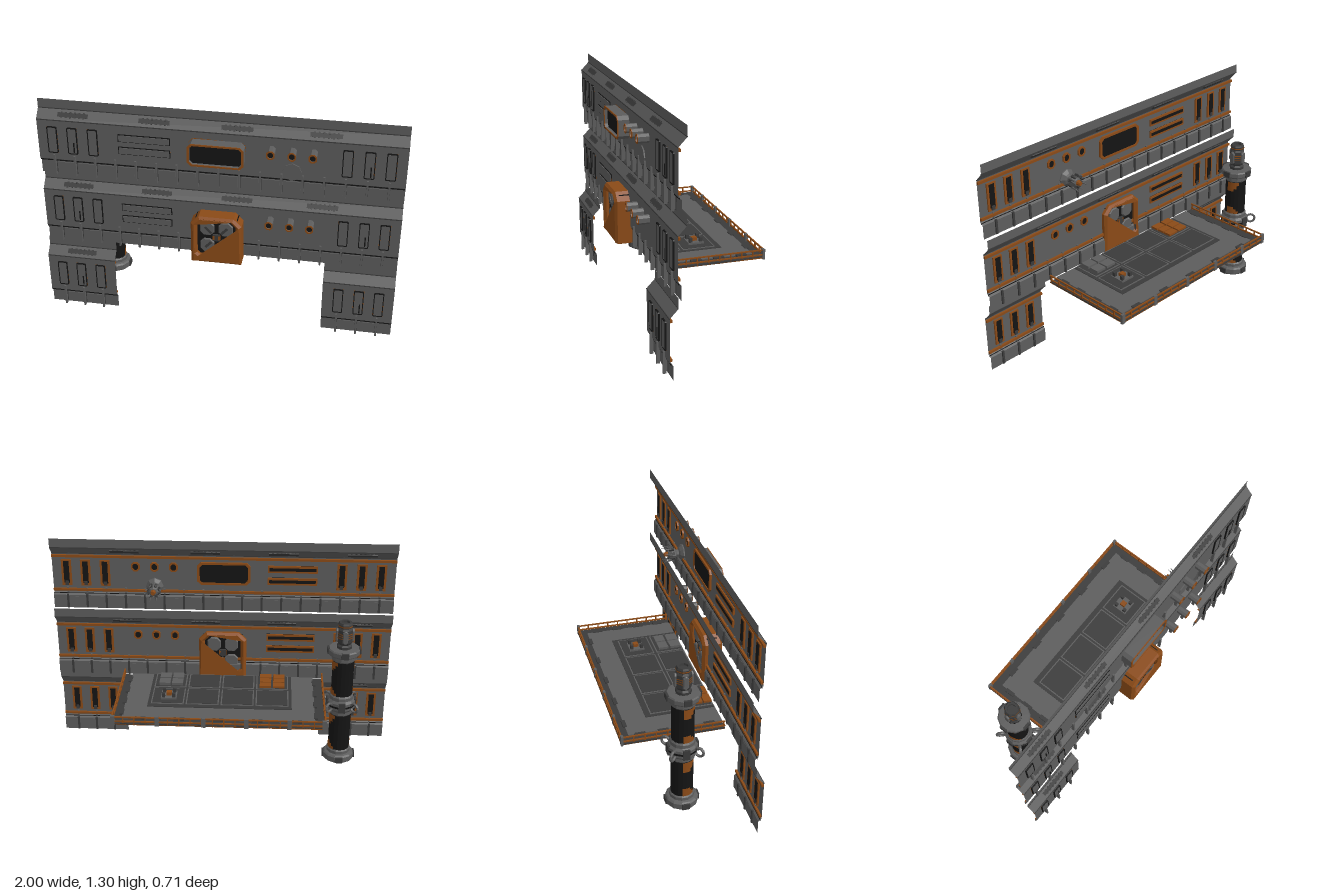
import * as THREE from 'three';

const mat = (color) => new THREE.MeshStandardMaterial({ color, flatShading: true, side: THREE.DoubleSide });
const GREY = mat(0x5c5c5c), DARK = mat(0x3a3a3a), BLACK = mat(0x141414), ORANGE = mat(0x8a4a17);

function add(parent, name, geo, material, x = 0, y = 0, z = 0) {
  const m = new THREE.Mesh(geo, material);
  m.name = name;
  m.position.set(x, y, z);
  parent.add(m);
  return m;
}
const box = (p, name, material, w, h, d, x, y, z) => add(p, name, new THREE.BoxGeometry(w, h, d), material, x, y, z);
function group(parent, name, x = 0, y = 0, z = 0) {
  const g = new THREE.Group();
  g.name = name;
  g.position.set(x, y, z);
  parent.add(g);
  return g;
}

// Rectangle with cut corners (top cut ct, bottom cut cb), centred on the origin
function cutRect(w, h, ct, cb = ct, Type = THREE.Shape) {
  const a = w / 2, b = h / 2;
  return new Type([[-a + cb, -b], [a - cb, -b], [a, -b + cb], [a, b - ct], [a - ct, b], [-a + ct, b], [-a, b - ct], [-a, -b + cb]]
    .map(([x, y]) => new THREE.Vector2(x, y)));
}
function frameGeo(outer, hole, depth, bevel = 0) {
  if (hole) outer.holes.push(hole);
  return new THREE.ExtrudeGeometry(outer, {
    depth: depth - bevel, bevelEnabled: bevel > 0, bevelSize: bevel, bevelOffset: -bevel, bevelThickness: bevel, bevelSegments: 1,
  });
}

// Bent sheet swept along x
const PROFILE = [[0, -0.018], [0.08, -0.018], [0.095, 0], [0.338, 0], [0.385, -0.045], [0.44, -0.045]];
function sheetGeo(x0, x1) {
  const pos = [], idx = [];
  PROFILE.forEach(([y, z], i) => {
    pos.push(x0, y, z, x1, y, z);
    if (i) { const k = 2 * i; idx.push(k - 2, k - 1, k + 1, k - 2, k + 1, k); }
  });
  const g = new THREE.BufferGeometry();
  g.setAttribute('position', new THREE.Float32BufferAttribute(pos, 3));
  g.setIndex(idx);
  g.computeVertexNormals();
  return g;
}

function wallRow(parent, name, y, z, x0, x1) {
  const g = group(parent, name, 0, y, z), w = x1 - x0, cx = (x0 + x1) / 2;
  add(g, 'wallSheet', sheetGeo(x0, x1), GREY);
  const inside = (x) => x > x0 && x < x1;
  // foot ribs and the plates between them
  for (let i = 0; i <= 17; i++) {
    const x = -0.915 + i * 0.1144;
    if (i < 17 && inside(x)) {
      box(g, 'footRib', GREY, 0.01, 0.125, 0.018, x, 0.0625, 0.001);
      box(g, 'footRibBack', DARK, 0.012, 0.085, 0.01, x, 0.045, -0.021);
    }
    const px = x - 0.0572;
    if (inside(px - 0.03) && inside(px + 0.03)) box(g, 'footPlate', GREY, 0.09, 0.068, 0.006, px, 0.038, -0.016);
  }
  box(g, 'footShadowLine', BLACK, w, 0.008, 0.003, cx, 0.087, -0.007);
  // trim strips on the rear, ledge line on the front
  for (const ty of [0.112, 0.322]) box(g, 'rearTrim', ORANGE, w, 0.014, 0.012, cx, ty, -0.007);
  box(g, 'ledgeLine', DARK, w, 0.005, 0.004, cx, 0.336, 0.001);
  box(g, 'upperLine', DARK, w, 0.005, 0.003, cx, 0.386, -0.044);
  // slim upright panels near both ends
  for (const s of [-1, 1]) for (const [i, px] of [0.69, 0.805, 0.917].entries()) {
    const x = s * px;
    if (!inside(x)) continue;
    add(g, 'uprightSlot', frameGeo(cutRect(0.056, 0.16, 0.005), cutRect(0.046, 0.15, 0.004, 0.004, THREE.Path), 0.008), BLACK, x, 0.218, 0);
    box(g, 'uprightPanel', GREY, 0.045, 0.148, 0.007, x, 0.218, 0.0035);
    if (i === 1) box(g, 'panelHandle', BLACK, 0.007, 0.06, 0.003, x + 0.008, 0.18, 0.008);
    box(g, 'rearPanel', ORANGE, 0.058, 0.16, 0.008, x, 0.218, -0.004);
    box(g, 'rearPanelCore', BLACK, 0.032, 0.135, 0.005, x, 0.222, -0.009);
    box(g, 'rearPanelLatch', DARK, 0.02, 0.025, 0.01, x, 0.155, -0.01);
  }
  // perforated vents on the slope
  for (const vx of [-0.8, -0.35, 0.1, 0.57]) {
    if (!inside(vx)) continue;
    for (let r = 0; r < 2; r++) for (let i = 0; i < 6; i++) {
      const v = box(g, 'ventHole', DARK, 0.01, 0.009, 0.004, vx + (i - 2.5) * 0.025, 0.353 + r * 0.018, -0.0135 - r * 0.0172);
      v.rotation.x = -0.76;
    }
    const b = box(g, 'rearVentPlate', DARK, 0.17, 0.025, 0.006, vx, 0.36, -0.024);
    b.rotation.x = -0.76;
  }
  return g;
}

// Long panels and portholes of a full-width row
function fullRowDetails(g) {
  for (const y of [0.185, 0.26]) {
    box(g, 'longPanelRim', BLACK, 0.288, 0.045, 0.004, -0.405, y, 0.002);
    box(g, 'longPanel', GREY, 0.278, 0.036, 0.008, -0.405, y, 0.004);
    box(g, 'rearLongPanel', ORANGE, 0.288, 0.042, 0.01, -0.405, y, -0.004);
    box(g, 'rearLongSlot', BLACK, 0.27, 0.018, 0.005, -0.405, y, -0.009);
  }
  for (const x of [0.288, 0.4, 0.51]) {
    const p = group(g, 'porthole', x, 0.262, 0);
    const hood = cutRect(0.042, 0.048, 0.012);
    add(p, 'hood', frameGeo(hood, cutRect(0.03, 0.036, 0.009, 0.009, THREE.Path), 0.062), GREY);
    add(p, 'rim', frameGeo(cutRect(0.043, 0.049, 0.012), cutRect(0.029, 0.035, 0.009, 0.009, THREE.Path), 0.004), ORANGE, 0, 0, 0.06);
    add(p, 'glass', frameGeo(cutRect(0.034, 0.04, 0.01), null, 0.062), BLACK, 0, 0, -0.008);
    add(p, 'rearRim', frameGeo(cutRect(0.05, 0.056, 0.014), cutRect(0.032, 0.038, 0.01, 0.01, THREE.Path), 0.01), ORANGE, 0, 0, -0.011);
  }
}

function buildWindow(parent) {
  const g = group(parent, 'window', -0.005, 1.09, 0.268);
  const hole = () => cutRect(0.28, 0.112, 0.016, 0.016, THREE.Path);
  add(g, 'windowHousing', frameGeo(cutRect(0.302, 0.13, 0.02), hole(), 0.064), GREY);
  add(g, 'windowRim', frameGeo(cutRect(0.304, 0.132, 0.02), hole(), 0.005), ORANGE, 0, 0, 0.062);
  add(g, 'windowPane', frameGeo(cutRect(0.286, 0.118, 0.018), null, 0.055), BLACK, 0, 0, -0.008);
  add(g, 'rearWindowRim', frameGeo(cutRect(0.31, 0.138, 0.022), hole(), 0.012), ORANGE, 0, 0, -0.012);
}

function buildDoor(parent) {
  const g = group(parent, 'door', 0, 0.568, 0.25);
  const frame = cutRect(0.284, 0.296, 0.045, 0.002);
  const opening = cutRect(0.215, 0.225, 0.03, 0.015, THREE.Path);
  opening.curves.forEach((c) => { c.v1.y += 0.012; c.v2.y += 0.012; });
  add(g, 'doorFrame', frameGeo(frame, opening, 0.105, 0.014), ORANGE, 0, 0, 0);
  box(g, 'doorCore', BLACK, 0.235, 0.245, 0.06, 0, 0.01, 0.045);
  // leaf blocks and cross bars on both faces
  for (const z of [0.077, 0.013]) {
    for (const sx of [-1, 1]) for (const sy of [-1, 1]) {
      add(g, 'leafPanel', frameGeo(cutRect(0.08, 0.088, 0.022), null, 0.012, 0.005), GREY, sx * 0.052, 0.012 + sy * 0.055, z - 0.006);
      const k = box(g, 'leafBrace', DARK, 0.014, 0.05, 0.02, sx * 0.045, 0.012 + sy * 0.048, z);
      k.rotation.z = -sx * sy * 0.75;
    }
    box(g, 'doorHub', DARK, 0.04, 0.04, 0.02, 0, 0.012, z);
    for (const s of [-1, 1]) box(g, 'lockBar', ORANGE, 0.012, 0.026, 0.02, s * 0.016, 0.012, z);
  }
}

function buildTurret(parent) {
  const g = group(parent, 'wallTurret', 0.4, 1.003, 0.275);
  g.rotation.x = -Math.PI / 2;
  const body = [[0, 0], [0.052, 0], [0.052, 0.014], [0.034, 0.03], [0.022, 0.036], [0.022, 0.05], [0.034, 0.058], [0.034, 0.08], [0.022, 0.1], [0, 0.105]];
  add(g, 'turretBody', new THREE.LatheGeometry(body.map(([r, y]) => new THREE.Vector2(r, y)), 8), GREY);
  for (let i = 0; i < 8; i++) {
    const arm = group(g, 'claw');
    arm.rotation.y = (i + 0.5) * Math.PI / 4;
    box(arm, 'clawBase', DARK, 0.014, 0.03, 0.014, 0.036, 0.082, 0);
    const tip = add(arm, 'clawTip', new THREE.ConeGeometry(0.007, 0.045, 4), GREY, 0.043, 0.11, 0);
    tip.rotation.z = -0.2;
  }
  add(g, 'turretCore', new THREE.CylinderGeometry(0.012, 0.018, 0.03, 8), ORANGE, 0, 0.108, 0);
}

function buildPlatform(parent) {
  const g = group(parent, 'platform', 0, 0.43, 0);
  box(g, 'deck', DARK, 1.2, 0.01, 0.58, -0.004, 0, -0.068);
  box(g, 'deckPlate', GREY, 1.09, 0.008, 0.53, 0, 0.006, -0.04);
  box(g, 'centreFrame', DARK, 0.83, 0.008, 0.395, 0, 0.009, 0.022);
  for (let c = 0; c < 4; c++) for (let r = 0; r < 2; r++) {
    const x = -0.302 + c * 0.2013, z = -0.052 + r * 0.19, d = r ? 0.165 : 0.185;
    box(g, 'floorTile', GREY, 0.19, 0.008, d, x, 0.012, z);
    box(g, 'floorTileInset', DARK, 0.176, 0.004, d - 0.014, x, 0.0155, z);
  }
  // underside plates
  for (let c = 0; c < 5; c++) for (let r = 0; r < 3; r++)
    box(g, 'undersidePlate', BLACK, 0.215, 0.004, 0.17, (c - 2) * 0.228, -0.006, -0.25 + r * 0.182);
  // orange crates, cabinet and console
  for (let c = 0; c < 2; c++) for (let r = 0; r < 3; r++)
    box(g, 'crate', ORANGE, 0.068, 0.014, 0.046, -0.342 + c * 0.08, 0.023, 0.09 + r * 0.053);
  for (let c = 0; c < 2; c++) for (let r = 0; r < 2; r++)
    box(g, 'consoleKey', GREY, 0.065, 0.016, 0.06, 0.262 + c * 0.075, 0.024, 0.105 + r * 0.072);
  const cab = group(g, 'cabinet', 0.298, 0.016, -0.055);
  box(cab, 'cabinetBase', GREY, 0.09, 0.012, 0.09, 0, 0.006, 0);
  for (const sx of [-1, 1]) for (const sz of [-1, 1]) box(cab, 'cabinetPost', DARK, 0.018, 0.03, 0.018, sx * 0.03, 0.022, sz * 0.03);
  box(cab, 'cabinetCore', ORANGE, 0.03, 0.022, 0.03, 0, 0.02, 0);
  // guard rails on three sides
  for (const y of [-0.003, 0.014, 0.041]) {
    for (const s of [-1, 1]) box(g, 'sideRail', ORANGE, 0.008, 0.007, 0.58, s * 0.596 - 0.004, y, -0.066);
    box(g, 'rearRail', ORANGE, 1.2, 0.007, 0.008, -0.004, y, -0.354);
  }
  for (let i = 0; i < 10; i++) for (const s of [-1, 1]) box(g, 'sidePost', ORANGE, 0.008, 0.05, 0.006, s * 0.596 - 0.004, 0.018, -0.352 + i * 0.063);
  for (let i = 0; i < 20; i++) box(g, 'rearPost', ORANGE, 0.006, 0.05, 0.008, -0.6 + i * 0.0628, 0.018, -0.354);
  for (const x of [-0.594, -0.4, -0.16, 0.08, 0.34, 0.588]) box(g, 'rearClamp', GREY, 0.024, 0.058, 0.014, x, 0.018, -0.352);
  for (const s of [-1, 1]) for (let i = 0; i < 4; i++) box(g, 'edgeLug', DARK, 0.022, 0.012, 0.06, s * 0.55, 0.008, -0.24 + i * 0.13);
  for (let i = 0; i < 5; i++) box(g, 'edgeLug', DARK, 0.06, 0.012, 0.022, -0.44 + i * 0.22, 0.008, -0.305);
}

function buildColumn(parent) {
  const g = group(parent, 'column', -0.702, 0, -0.048);
  const lathe = (name, pts, m, n = 12) => add(g, name, new THREE.LatheGeometry(pts.map(([r, y]) => new THREE.Vector2(r, y)), n, Math.PI / n), m);
  lathe('shaft', [[0.062, 0.1], [0.062, 0.74]], BLACK, 16);
  lathe('foot', [[0, 0.065], [0.088, 0.065], [0.091, 0.072], [0.091, 0.1], [0.082, 0.108], [0.07, 0.112], [0.07, 0.13], [0.062, 0.138]], GREY);
  lathe('collar', [[0.062, 0.708], [0.07, 0.718], [0.07, 0.738], [0.088, 0.748], [0.091, 0.755], [0.091, 0.778], [0.085, 0.785], [0.045, 0.787]], GREY);
  lathe('middleRing', [[0.062, 0.365], [0.07, 0.375], [0.07, 0.395], [0.082, 0.41], [0.082, 0.452], [0.07, 0.465], [0.07, 0.485], [0.062, 0.495]], GREY);
  lathe('middleBand', [[0.084, 0.425], [0.084, 0.437]], BLACK);
  lathe('cap', [[0.044, 0.785], [0.044, 0.8], [0.036, 0.81], [0.044, 0.825], [0.044, 0.9], [0.036, 0.912], [0.042, 0.918], [0.042, 0.932], [0.036, 0.942], [0.024, 0.942], [0.022, 0.93], [0, 0.93]], DARK, 8);
  for (const y of [0.85, 0.863, 0.876]) lathe('capStripe', [[0.0455, y], [0.0455, y + 0.005]], ORANGE, 8);
  lathe('capBand', [[0.043, 0.92], [0.043, 0.927]], ORANGE, 8);
  for (let i = 0; i < 4; i++) {
    const s = group(g, 'columnSide');
    s.rotation.y = i * Math.PI / 2;
    for (const y of [0.085, 0.768]) box(s, 'flangeBlock', DARK, 0.044, 0.034, 0.014, 0, y, 0.088);
    add(s, 'capPod', frameGeo(cutRect(0.03, 0.08, 0.011), null, 0.012, 0.004), GREY, 0, 0.863, 0.04);
    box(s, 'ringBlock', DARK, 0.04, 0.06, 0.012, 0, 0.431, 0.08);
    // ring handles on the diagonals
    const d = group(s, 'ringHandle', 0, 0.431, 0);
    d.rotation.y = Math.PI / 4;
    const t = add(d, 'handle', new THREE.TorusGeometry(0.026, 0.007, 6, 12), GREY, 0.102, 0, 0);
    t.scale.z = 1.2;
    // stepped paint patches
    if (i % 2) for (const [y, h] of [[0.138, 0.05], [0.365, -0.065], [0.495, 0.045], [0.708, -0.06]])
      for (const [k, a] of [[1, 0.7], [0.7, 0.95], [0.35, 1.2]])
        add(s, 'paintPatch', new THREE.CylinderGeometry(0.0632, 0.0632, Math.abs(h * k), 6, 1, true, -0.2, a), ORANGE, 0, y + h * k / 2, 0);
  }
}

export function createModel() {
  const model = new THREE.Group();
  model.name = 'wallSection';
  fullRowDetails(wallRow(model, 'upperWall', 0.863, 0.268, -1, 1));
  fullRowDetails(wallRow(model, 'middleWall', 0.425, 0.268, -1, 1));
  wallRow(model, 'lowerWallRight', 0, 0.309, -1, -0.6);
  wallRow(model, 'lowerWallLeft', 0, 0.309, 0.6, 1);
  buildWindow(model);
  buildDoor(model);
  buildTurret(model);
  buildPlatform(model);
  buildColumn(model);
  return model;
}
